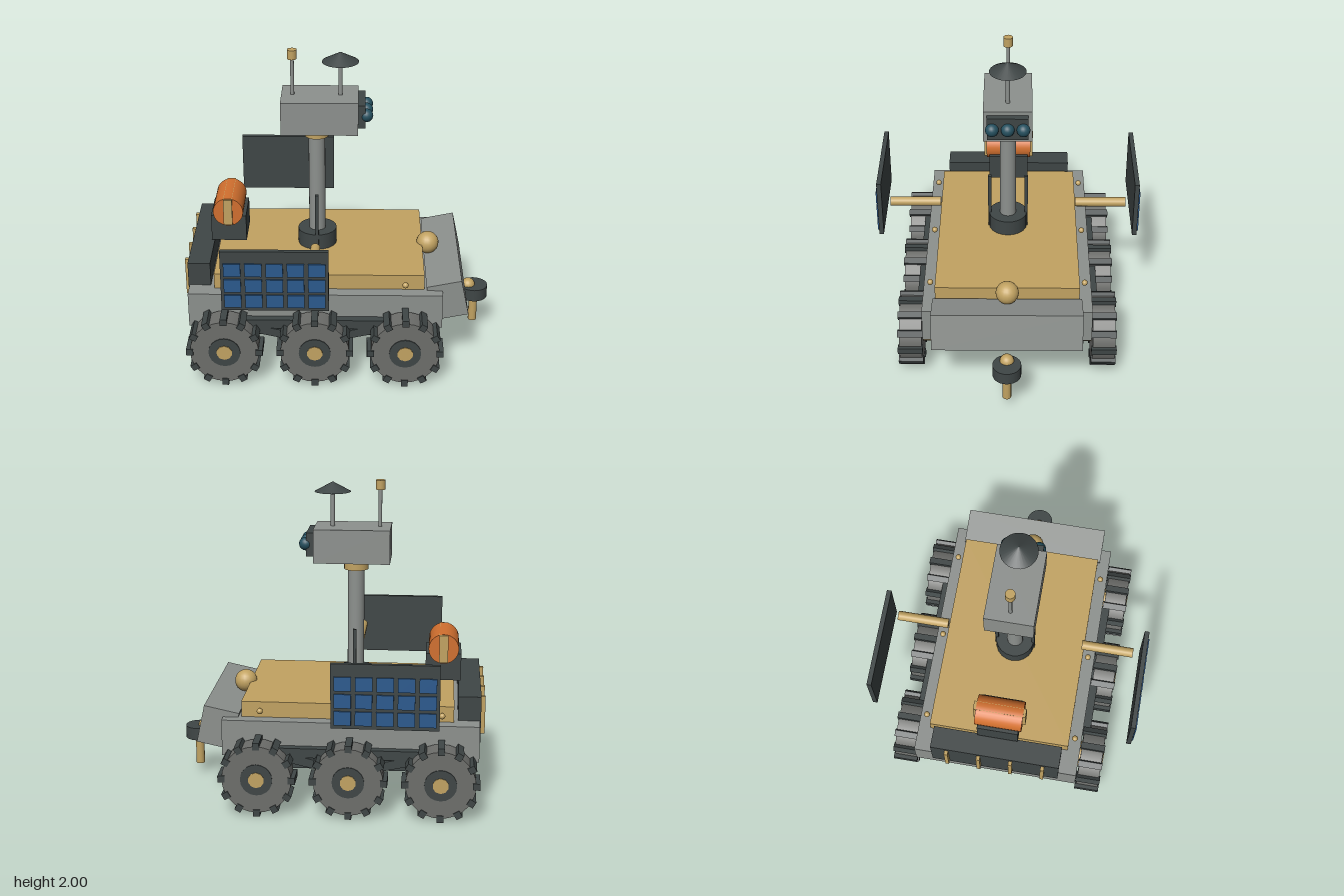
import * as THREE from 'three';

const mat = (name, color) => {
  const m = new THREE.MeshStandardMaterial({ color });
  m.name = name;
  return m;
};

export function createModel() {
  const grey = mat('hull grey', 0x8d918e);
  const tyre = mat('wheel grey', 0x6d6e6b);
  const dark = mat('dark slate', 0x3f4646);
  const gold = mat('gold', 0xc2a362);
  const orange = mat('orange', 0xd2702f);
  const blue = mat('solar blue', 0x2b5a8e);
  const teal = mat('lens teal', 0x25505f);

  const model = new THREE.Group();
  model.name = 'rover';

  const add = (name, geo, material, x, y, z, parent = model) => {
    const m = new THREE.Mesh(geo, material);
    m.name = name;
    m.position.set(x, y, z);
    parent.add(m);
    return m;
  };
  // box given by its limits on each axis
  const box = (name, material, x0, x1, y0, y1, z0, z1, parent) =>
    add(name, new THREE.BoxGeometry(x1 - x0, y1 - y0, z1 - z0), material,
      (x0 + x1) / 2, (y0 + y1) / 2, (z0 + z1) / 2, parent);
  // upright cylinder between two heights
  const post = (name, material, r, x, y0, y1, z = 0, seg = 20) =>
    add(name, new THREE.CylinderGeometry(r, r, y1 - y0, seg), material, x, (y0 + y1) / 2, z);
  // cylinder lying along z
  const axle = (name, material, r, x, y, z0, z1, seg = 20, parent = model) => {
    const g = new THREE.CylinderGeometry(r, r, Math.abs(z1 - z0), seg).rotateX(Math.PI / 2);
    return add(name, g, material, x, y, (z0 + z1) / 2, parent);
  };
  const ball = (name, material, r, x, y, z) =>
    add(name, new THREE.SphereGeometry(r, 20, 14), material, x, y, z);

  // body
  box('chassis', grey, -0.95, 0.65, 0.34, 0.57, -0.537, 0.537);
  box('bellyPan', dark, -0.91, 0.58, 0.25, 0.345, -0.49, 0.49);
  box('deck', gold, -0.79, 0.535, 0.565, 0.67, -0.457, 0.457);
  add('nose', new THREE.BoxGeometry(0.225, 0.245, 0.945), grey, 0.684, 0.497, 0).rotation.z = 0.21;
  ball('noseBall', gold, 0.073, 0.572, 0.663, 0);

  // rear radiator with bars
  box('radiator', dark, -0.957, -0.815, 0.43, 0.725, -0.42, 0.42);
  for (const z of [-0.315, -0.105, 0.105, 0.315]) {
    box('radiatorBar', gold, -0.985, -0.955, 0.455, 0.7, z - 0.012, z + 0.012);
  }

  // tank on its stand, with end straps
  box('tankStand', dark, -0.83, -0.605, 0.74, 0.915, -0.132, 0.132);
  axle('tank', orange, 0.096, -0.718, 0.95, -0.15, 0.15, 28);
  box('tankStrap', gold, -0.746, -0.69, 0.865, 1.042, -0.167, 0.167);

  // mast
  const mx = -0.15;
  post('mastBase', dark, 0.125, mx, 0.665, 0.775);
  post('mast', grey, 0.053, mx, 0.77, 1.44);
  post('mastCollar', gold, 0.078, mx, 1.43, 1.495);
  for (const s of [-1, 1]) box('mastBrace', dark, mx - 0.011, mx + 0.011, 0.67, 1.06, s * 0.12 - 0.011, s * 0.12 + 0.011);

  // camera head
  box('head', grey, -0.37, 0.112, 1.49, 1.705, -0.152, 0.152);
  box('cameraPlate', dark, 0.11, 0.157, 1.53, 1.68, -0.128, 0.128);
  for (const z of [-0.097, 0, 0.097]) ball('lens', teal, 0.042, 0.163, 1.605, z);

  // antennas
  post('dishStalk', grey, 0.014, 0, 1.7, 1.905, 0, 10);
  add('dish', new THREE.ConeGeometry(0.115, 0.063, 28), dark, 0, 1.955, 0);
  post('antennaRod', grey, 0.012, -0.3, 1.7, 1.945, 0, 10);
  post('antennaTip', gold, 0.03, -0.3, 1.94, 2.0, 0, 16);

  // front drill
  ball('drillJoint', gold, 0.045, 0.852, 0.345, 0);
  post('drillHousing', dark, 0.09, 0.89, 0.265, 0.347, 0, 24);
  post('drillBit', gold, 0.028, 0.89, 0.08, 0.27, 0, 14);

  // dark bar between two points in the side plane
  const bar = (name, x0, y0, x1, y1, h, z) => {
    const m = add(name, new THREE.BoxGeometry(Math.hypot(x1 - x0, y1 - y0), h, 0.05), dark,
      (x0 + x1) / 2, (y0 + y1) / 2, z);
    m.rotation.z = Math.atan2(y1 - y0, x1 - x0);
  };

  const wheelX = [-0.717, -0.151, 0.415], wheelY = 0.242;
  for (const s of [-1, 1]) {
    // wheels with twelve lugs
    for (const x of wheelX) {
      const wheel = new THREE.Group();
      wheel.name = 'wheel';
      wheel.position.set(x, wheelY, 0);
      model.add(wheel);
      axle('tyre', tyre, 0.216, 0, 0, s * 0.548, s * 0.692, 28, wheel);
      axle('hubDisc', dark, 0.1, 0, 0, s * 0.6, s * 0.698, 20, wheel);
      axle('hubCap', gold, 0.05, 0, 0, s * 0.6, s * 0.703, 10, wheel);
      axle('innerHub', gold, 0.085, 0, 0, s * 0.49, s * 0.555, 16, wheel);
      for (let i = 0; i < 12; i++) {
        const a = i * Math.PI / 6;
        add('lug', new THREE.BoxGeometry(0.042, 0.044, 0.16), dark,
          -Math.sin(a) * 0.218, Math.cos(a) * 0.218, s * 0.62, wheel).rotation.z = a;
      }
      ball('deckBolt', gold, 0.019, x, 0.62, s * 0.493);
    }

    // suspension
    bar('rockerBeam', -0.6, 0.385, 0.3, 0.385, 0.06, s * 0.562);
    bar('rockerArm', -0.151, 0.265, -0.6, 0.365, 0.055, s * 0.562);
    bar('rockerArm', -0.151, 0.265, 0.3, 0.365, 0.055, s * 0.562);

    // solar panel and its strut
    axle('panelStrut', gold, 0.031, mx, 0.855, s * 0.442, s * 0.777, 14);
    const panel = new THREE.Group();
    panel.name = 'solarPanel';
    panel.position.set(-0.38, 0.85, s * 0.841);
    model.add(panel);
    add('panelFrame', new THREE.BoxGeometry(0.645, 0.4, 0.03), dark, 0, 0, 0, panel);
    for (let i = -2; i <= 2; i++) {
      for (let j = -1; j <= 1; j++) {
        add('solarCell', new THREE.BoxGeometry(0.102, 0.086, 0.0098), blue,
          i * 0.126, j * 0.106 - 0.028, s * 0.0198, panel);
      }
    }
  }
  return model;
}
